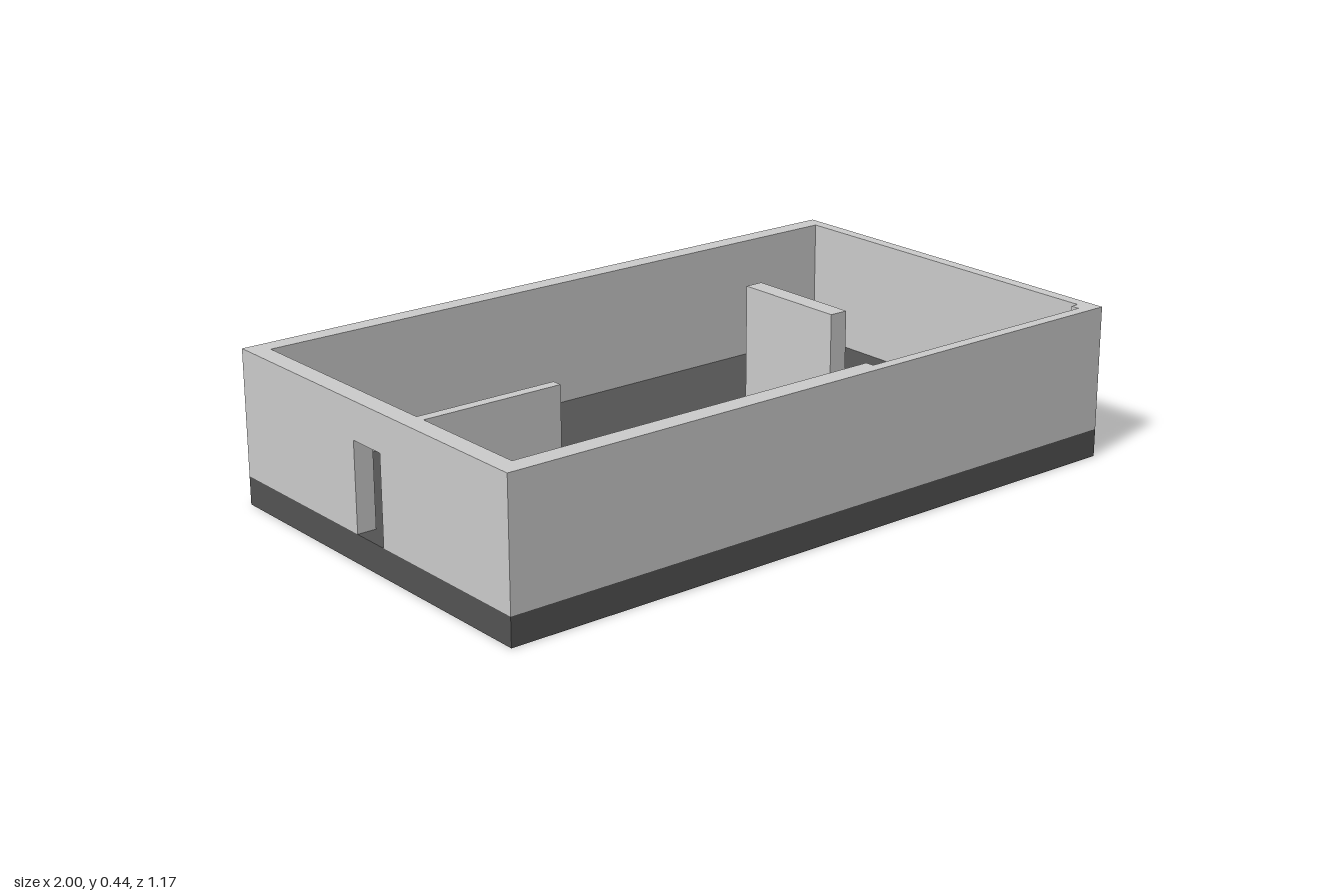
import * as THREE from 'three';

const FLOOR = 0.08, TOP = 0.435, HALF_Z = 0.5875;
const wallMat = new THREE.MeshStandardMaterial({ color: 0xcccccc, flatShading: true });
const baseMat = new THREE.MeshStandardMaterial({ color: 0x535353, flatShading: true });

// Axis-aligned block from its limits
function block(name, x0, x1, y0, y1, z0, z1, mat = wallMat) {
  const mesh = new THREE.Mesh(new THREE.BoxGeometry(x1 - x0, y1 - y0, z1 - z0), mat);
  mesh.position.set((x0 + x1) / 2, (y0 + y1) / 2, (z0 + z1) / 2);
  mesh.name = name;
  return mesh;
}

// Upright wall leaf from an outline of [along, y] points, with rectangular holes [a0, a1, y0, y1]
function leaf(name, points, holes, thickness) {
  const toVectors = (list) => list.map(([a, y]) => new THREE.Vector2(a, y));
  const shape = new THREE.Shape(toVectors(points));
  for (const [a0, a1, y0, y1] of holes) {
    shape.holes.push(new THREE.Path(toVectors([[a0, y0], [a0, y1], [a1, y1], [a1, y0]])));
  }
  const geometry = new THREE.ExtrudeGeometry(shape, { depth: thickness, bevelEnabled: false });
  const mesh = new THREE.Mesh(geometry, wallMat);
  mesh.name = name;
  return mesh;
}

export function createModel() {
  const model = new THREE.Group();
  model.name = 'floorPlan';

  // Floor slab and the two plain outer walls
  model.add(block('floorSlab', -1, 1, 0, FLOOR, -HALF_Z, HALF_Z, baseMat));
  model.add(block('backWall', -1, 1, FLOOR, TOP, -HALF_Z, -0.535));
  model.add(block('sideWall', 0.965, 1, FLOOR, TOP, -0.535, HALF_Z));

  // Front wall: solid skin, and an inner leaf with a door niche and corner window niche
  model.add(block('frontWallSkin', -1, 0.965, FLOOR, TOP, 0.555, HALF_Z));
  const frontLeaf = leaf('frontWallLeaf', [
    [-0.71, FLOOR], [-0.367, FLOOR], [-0.367, 0.375], [-0.261, 0.375], [-0.261, FLOOR],
    [0.17, FLOOR], [0.17, TOP], [-0.97, TOP], [-0.97, 0.37], [-0.71, 0.37],
  ], [], 0.025);
  frontLeaf.position.z = 0.53;
  model.add(frontLeaf);
  model.add(block('cornerWindowSill', -0.97, -0.71, FLOOR, 0.17, 0.53, 0.555));
  model.add(block('frontWallEnd', 0.94, 0.965, FLOOR, TOP, 0.53, 0.555));

  // Doorway wall: skin and inner leaf share the doorway; the leaf also has the corner window niche
  const door = [[-0.062, FLOOR], [-0.062, 0.33], [0.056, 0.33], [0.056, FLOOR]];
  const skin = leaf('doorWallSkin',
    [[-0.535, FLOOR], ...door, [0.555, FLOOR], [0.555, TOP], [-0.535, TOP]], [], 0.03);
  const inner = leaf('doorWallLeaf', [
    [-0.535, FLOOR], ...door, [0.53, FLOOR], [0.53, 0.17], [0.29, 0.17],
    [0.29, 0.37], [0.53, 0.37], [0.53, TOP], [-0.535, TOP],
  ], [], 0.025);
  skin.position.x = -0.97;
  inner.position.x = -0.945;
  for (const part of [skin, inner]) {
    part.rotation.y = -Math.PI / 2;
    model.add(part);
  }

  // Interior walls
  model.add(block('partition', -0.945, -0.535, FLOOR, TOP, 0.14, 0.17));
  model.add(block('freestandingWall', 0.38, 0.435, FLOOR, TOP, -0.18, 0.17));

  return model;
}
